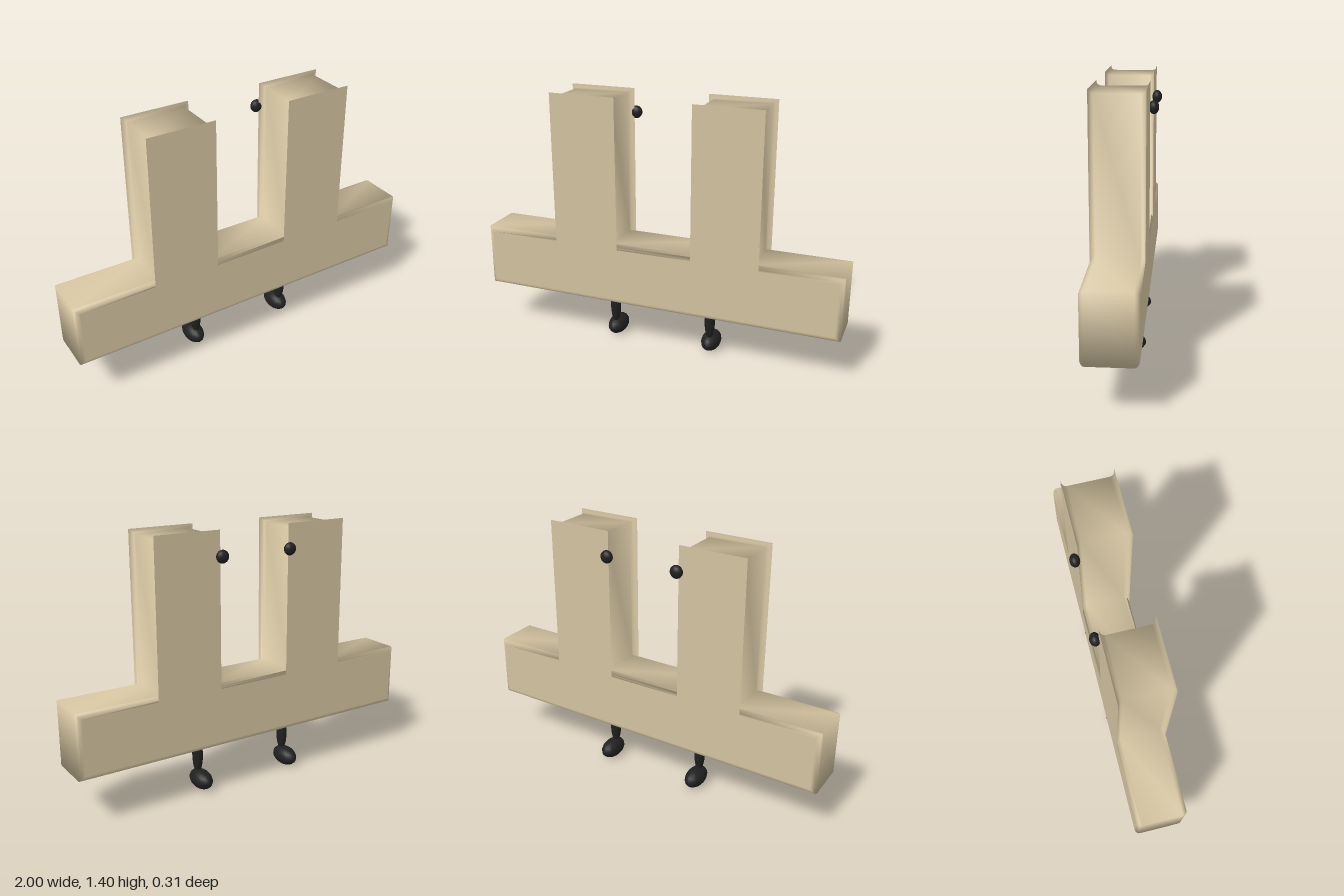
import * as THREE from 'three';

const sand = new THREE.MeshStandardMaterial({ color: 0xd2c29f });
sand.name = 'sand';
const black = new THREE.MeshStandardMaterial({ color: 0x202020 });
black.name = 'black';

const BACK = -0.11, FRONT = 0.155, BEVEL = 0.025, STEPS = 5;

// Mirror the right half of an outline to get a full counter-clockwise loop
function outline(half) {
  return [...half, ...half.slice().reverse().map(([x, y]) => [-x, y])];
}

// Outline of the walls, and of the flat front and back plates:
// the plates are smaller than the beam but wider than the towers
const wall = outline([[1, 0.26], [1, 0.605], [0.545, 0.605], [0.545, 1.378], [0.235, 1.378], [0.235, 0.605]]);
const plate = outline([[0.975, 0.285], [0.975, 0.58], [0.57, 0.58], [0.57, 1.4], [0.207, 1.4], [0.207, 0.58]]);

// Walls with a curved rim, lofted from back to front
function wallGeometry() {
  const rings = [];
  for (let i = 0; i <= STEPS; i++) {
    const a = (i / STEPS) * Math.PI / 2;
    rings.push({ t: 1 - Math.cos(a), inset: BEVEL * (1 - Math.sin(a)) });
  }
  const sections = [
    ...rings.slice().reverse().map((r) => ({ t: r.t, z: BACK + r.inset })),
    ...rings.map((r) => ({ t: r.t, z: FRONT - r.inset })),
  ];
  const n = wall.length, positions = [], index = [];
  sections.forEach(({ t, z }, s) => {
    wall.forEach(([x, y], i) => {
      positions.push(x + (plate[i][0] - x) * t, y + (plate[i][1] - y) * t, z);
      if (s === 0) return;
      const j = (i + 1) % n, a = (s - 1) * n, b = s * n;
      index.push(a + i, a + j, b + j, a + i, b + j, b + i);
    });
  });
  const geometry = new THREE.BufferGeometry();
  geometry.setAttribute('position', new THREE.Float32BufferAttribute(positions, 3));
  geometry.setIndex(index);
  geometry.computeVertexNormals();
  return geometry;
}

function addMesh(parent, name, geometry, material) {
  const mesh = new THREE.Mesh(geometry, material);
  mesh.name = name;
  parent.add(mesh);
  return mesh;
}

export function createModel() {
  const model = new THREE.Group();
  model.name = 'twinTowerFigure';

  // Body: beam and towers in one piece
  const body = new THREE.Group();
  body.name = 'body';
  model.add(body);
  addMesh(body, 'walls', wallGeometry(), sand);
  const face = new THREE.ShapeGeometry(new THREE.Shape(plate.map(([x, y]) => new THREE.Vector2(x, y))));
  addMesh(body, 'frontPlate', face, sand).position.z = FRONT;
  const back = addMesh(body, 'backPlate', face, sand);
  back.position.z = BACK;
  back.rotation.y = Math.PI;

  // Legs, feet and rear knobs, all ellipsoids
  const ball = new THREE.SphereGeometry(1, 16, 12);
  const parts = [
    ['Leg', [0.28, 0.185, 0.022], [0.028, 0.11, 0.033]],
    ['Foot', [0.28, 0.052, -0.012], [0.052, 0.052, 0.088]],
    ['Knob', [0.205, 1.27, -0.128], [0.034, 0.034, 0.026]],
  ];
  for (const [side, sign] of [['left', 1], ['right', -1]]) {
    for (const [name, [x, y, z], size] of parts) {
      const mesh = addMesh(model, side + name, ball, black);
      mesh.position.set(sign * x, y, z);
      mesh.scale.set(...size);
    }
  }
  return model;
}
